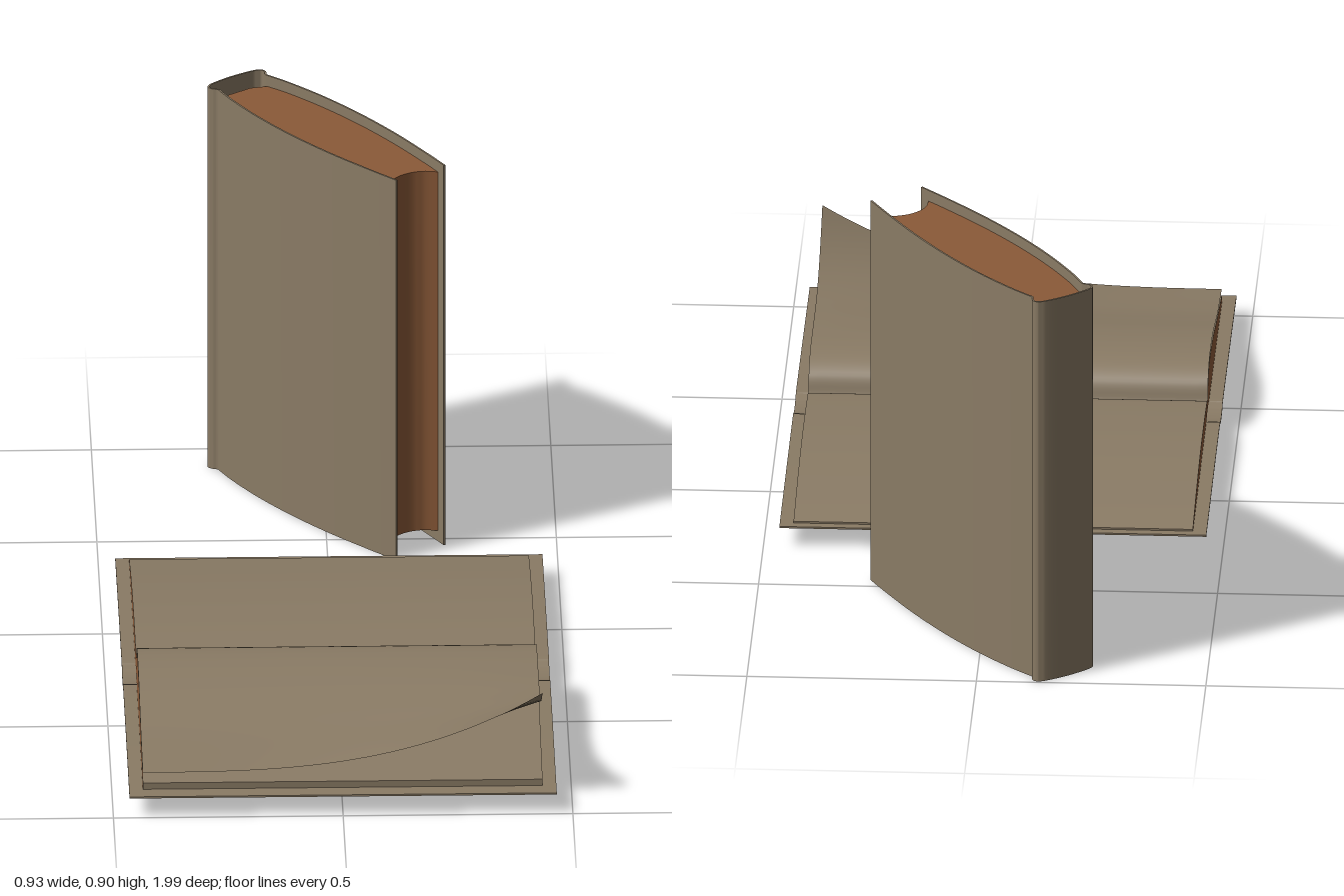
import * as THREE from 'three';
import { toCreasedNormals } from 'three/addons/utils/BufferGeometryUtils.js';

const khaki = new THREE.MeshStandardMaterial({ name: 'khaki cloth and paper', color: 0x8a7b65, side: THREE.DoubleSide });
const brown = new THREE.MeshStandardMaterial({ name: 'brown page edges', color: 0x8b5a38 });

const vec = (pts) => pts.map(([x, y]) => new THREE.Vector2(x, y));
const smooth = (pts, n = 32) => new THREE.SplineCurve(vec(pts)).getPoints(n);

// Closed outline of a thin sheet that follows a curve
function sheet(points, t) {
  const offset = (s) => points.map((p, i) => {
    const a = points[Math.max(i - 1, 0)], b = points[Math.min(i + 1, points.length - 1)];
    const d = b.clone().sub(a).normalize();
    return new THREE.Vector2(p.x - d.y * t * s / 2, p.y + d.x * t * s / 2);
  });
  return [...offset(1), ...offset(-1).reverse()];
}

function extrude(outline, depth) {
  const g = new THREE.ExtrudeGeometry(new THREE.Shape(outline), { depth, bevelEnabled: false });
  return toCreasedNormals(g, 0.6);
}

function add(group, name, geometry, material) {
  const mesh = new THREE.Mesh(geometry, material);
  mesh.name = name;
  group.add(mesh);
}

// Profiles drawn as (z, y), extruded across x
const across = (outline, width) => extrude(outline, width).translate(0, 0, -width / 2).rotateY(-Math.PI / 2);

function openBook() {
  const book = new THREE.Group();
  book.name = 'openBook';

  // Cover: two gently curved boards and a dipped spine
  const half = [[0.648, 0.047], [0.35, 0.053], [0.09, 0.056], [0.055, 0.054], [0.03, 0.047]];
  const cover = [
    ...half.map(([d, y]) => [0.35 + d, y]),
    [0.35, 0.045],
    ...half.slice().reverse().map(([d, y]) => [0.35 - d, y]),
  ];
  add(book, 'openCover', across(sheet(smooth(cover, 60), 0.004), 0.93), khaki);

  // Page blocks: brown ends, paper tops
  const blocks = {
    frontPages: [[0.352, 0.08], [0.37, 0.112], [0.42, 0.136], [0.48, 0.14], [0.6, 0.128], [0.75, 0.1], [0.96, 0.065]],
    backPages: [[0.348, 0.08], [0.33, 0.09], [0.26, 0.095], [0.15, 0.098], [0.03, 0.094], [-0.12, 0.079], [-0.28, 0.054]],
  };
  for (const [name, top] of Object.entries(blocks)) {
    const [endZ] = top[top.length - 1];
    const mid = endZ > 0.35 ? 0.43 : 0.27;
    const base = vec([[endZ, 0.05], [mid, 0.058], [0.35, 0.064]]);
    add(book, name, across([...smooth(top), ...base], 0.87), [brown, khaki]);
  }

  // Loose page whose front left corner lifts up
  const path = new THREE.SplineCurve(vec([[0.353, 0.085], [0.37, 0.122], [0.42, 0.147], [0.5, 0.152],
    [0.6, 0.141], [0.7, 0.12], [0.8, 0.101], [0.95, 0.085]]));
  const page = new THREE.PlaneGeometry(0.87, 1, 32, 40);
  const pos = page.attributes.position;
  const p = new THREE.Vector2();
  for (let i = 0; i < pos.count; i++) {
    const x = pos.getX(i);
    path.getPoint(Math.min(1, Math.max(0, 0.5 - pos.getY(i))), p);
    const lift = 0.18 * Math.pow(x / 0.87 + 0.5, 3) * Math.pow(Math.max(0, (p.x - 0.45) / 0.5), 2.27);
    pos.setXYZ(i, x, p.y + lift, p.x);
  }
  page.computeVertexNormals();
  add(book, 'liftedPage', page, khaki);
  return book;
}

function standingBook() {
  const book = new THREE.Group();
  book.name = 'standingBook';
  // Profiles drawn as (distance from spine, thickness), extruded upwards
  const upright = (outline, y0, height) => extrude(outline, height).rotateX(-Math.PI / 2).translate(0, y0, 0);

  // Cover: bowed boards, hinge grooves and a rounded spine
  const side = [[0.655, 0.066], [0.57, 0.077], [0.45, 0.089], [0.32, 0.094], [0.2, 0.09], [0.1, 0.079],
    [0.045, 0.069], [0.028, 0.066], [0.014, 0.074], [0.002, 0.073], [-0.006, 0.055]];
  const cover = [...side, [-0.01, 0], ...side.slice().reverse().map(([u, v]) => [u, -v])];
  add(book, 'closedCover', upright(sheet(smooth(cover, 110), 0.004), 0, 0.902), khaki);

  // Page block with a rounded back and hollow fore edge
  const flank = [[0.63, 0.067], [0.57, 0.075], [0.45, 0.087], [0.32, 0.092], [0.2, 0.088], [0.1, 0.077], [0.035, 0.063]];
  const block = [
    ...smooth(flank, 24),
    new THREE.Vector2(0.02, 0.03), new THREE.Vector2(0.02, -0.03),
    ...smooth(flank.slice().reverse().map(([u, v]) => [u, -v]), 24),
    ...smooth([[0.63, -0.067], [0.605, -0.04], [0.595, 0], [0.605, 0.04], [0.63, 0.067]], 16).slice(1, -1),
  ];
  add(book, 'closedPages', upright(block, 0.025, 0.852), brown);

  book.rotation.y = -Math.atan2(0.8, 0.6);
  book.position.set(-0.19, 0, -0.95);
  return book;
}

export function createModel() {
  const model = new THREE.Group();
  model.name = 'books';
  model.add(openBook(), standingBook());
  return model;
}
